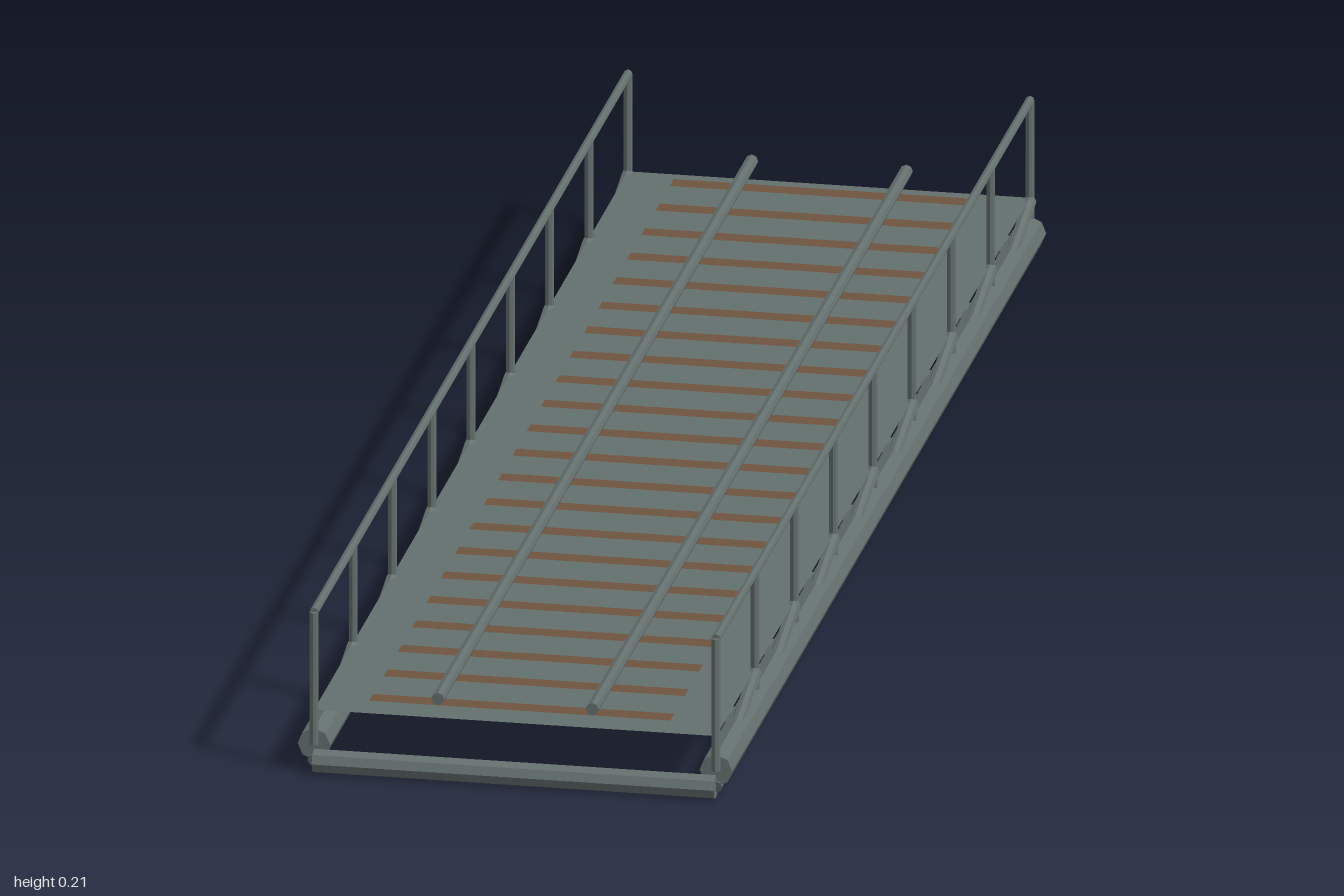
import * as THREE from 'three';

const HALF_WIDTH = 0.247;
const HALF_LENGTH = 0.985;
const BAYS = 8;
const DECK_Y = 0.08;

export function createModel() {
  const steel = new THREE.MeshStandardMaterial({ color: 0x64706e, flatShading: true });
  steel.name = 'greySteel';
  const plate = new THREE.MeshStandardMaterial({ color: 0x64706e, side: THREE.DoubleSide });
  plate.name = 'greyDeckPlate';
  const wood = new THREE.MeshStandardMaterial({ color: 0x6e543f, side: THREE.DoubleSide });
  wood.name = 'brownWood';

  const bridge = new THREE.Group();
  bridge.name = 'railwayBridge';

  // Round bar between two points
  const up = new THREE.Vector3(0, 1, 0);
  function bar(name, from, to, radius) {
    const a = new THREE.Vector3(...from);
    const b = new THREE.Vector3(...to);
    const dir = b.clone().sub(a);
    const mesh = new THREE.Mesh(new THREE.CylinderGeometry(radius, radius, dir.length(), 8), steel);
    mesh.name = name;
    mesh.position.copy(a).add(b).multiplyScalar(0.5);
    mesh.quaternion.setFromUnitVectors(up, dir.normalize());
    bridge.add(mesh);
  }

  // Flat horizontal sheet
  function sheet(name, width, length, y, z, material) {
    const mesh = new THREE.Mesh(new THREE.PlaneGeometry(width, length).rotateX(-Math.PI / 2), material);
    mesh.name = name;
    mesh.position.set(0, y, z);
    bridge.add(mesh);
  }

  // Deck and sleepers
  sheet('deck', HALF_WIDTH * 2, HALF_LENGTH * 2, DECK_Y, 0, plate);
  for (let i = 0; i < 22; i++) {
    sheet('sleeper', 0.37, 0.025, DECK_Y + 0.005, -0.942 + i * (1.884 / 21), wood);
  }

  const postZ = (i) => HALF_LENGTH - (i * 2 * HALF_LENGTH) / BAYS;

  // Cross beams under the deck
  for (let i = 0; i <= BAYS; i++) {
    bar('crossBeam', [-HALF_WIDTH, 0.015, postZ(i)], [HALF_WIDTH, 0.015, postZ(i)], 0.015);
  }

  for (const side of [-1, 1]) {
    const x = side * HALF_WIDTH;
    // Running rail, main girder and handrail
    bar('trackRail', [side * 0.095, 0.104, -HALF_LENGTH], [side * 0.095, 0.104, HALF_LENGTH], 0.008);
    bar('sideGirder', [x, 0.036, -HALF_LENGTH], [x, 0.036, HALF_LENGTH], 0.02);
    bar('handrail', [x, 0.205, -HALF_LENGTH], [x, 0.205, HALF_LENGTH], 0.0055);
    // Railing posts and sloping braces
    for (let i = 0; i <= BAYS; i++) {
      bar('railingPost', [x, 0.036, postZ(i)], [x, 0.205, postZ(i)], 0.0055);
      if (i < BAYS) bar('diagonalBrace', [x, 0.015, postZ(i)], [x, 0.076, postZ(i + 1)], 0.008);
    }
  }
  return bridge;
}
